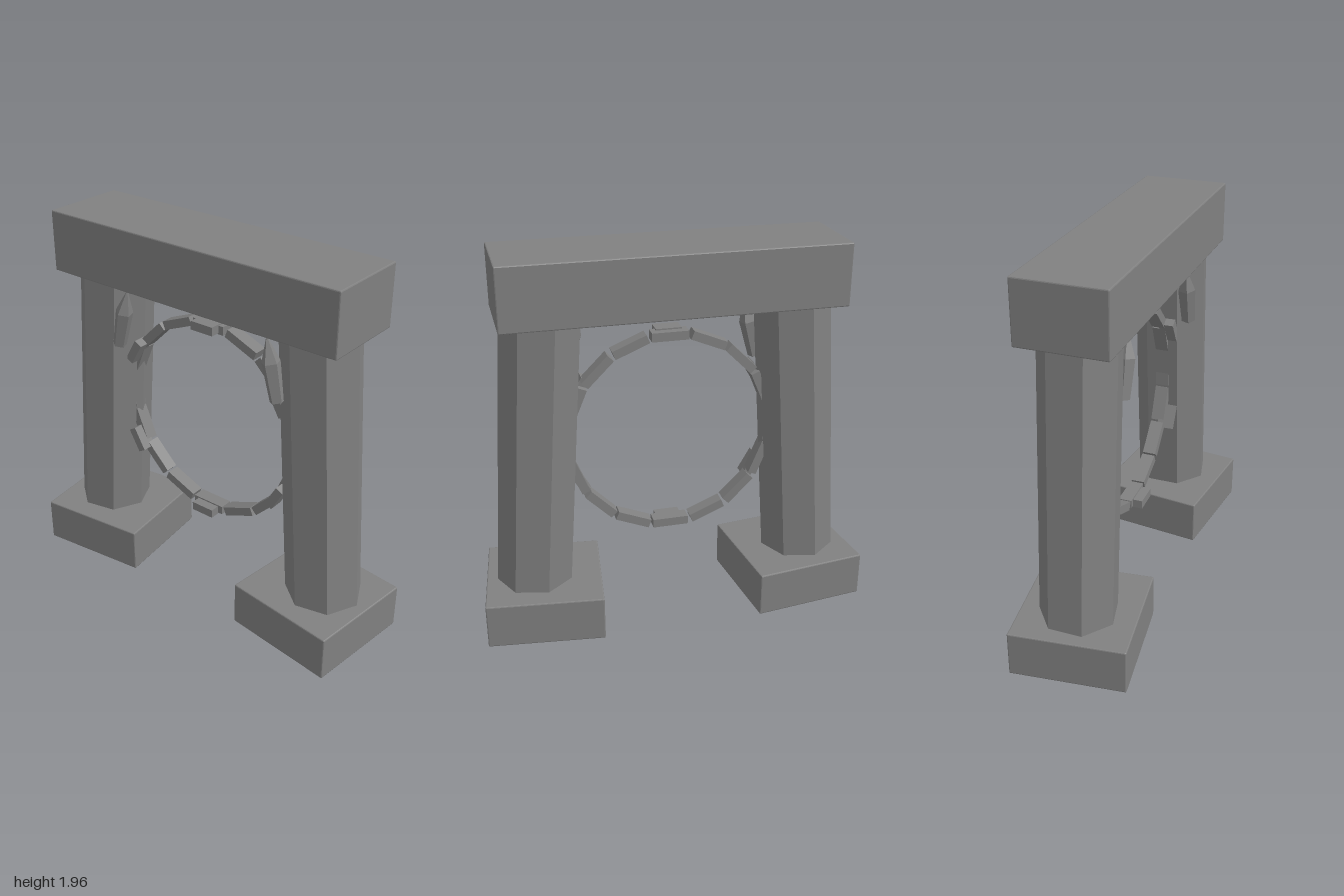
import * as THREE from 'three';
import { RoundedBoxGeometry } from 'three/addons/geometries/RoundedBoxGeometry.js';

export function createModel() {
  const group = new THREE.Group();
  group.name = 'stoneGateway';
  const stone = new THREE.MeshStandardMaterial({ color: 0x808080 });
  stone.name = 'grey stone';
  stone.flatShading = true;

  const add = (name, geometry, x, y, z, parent = group) => {
    const mesh = new THREE.Mesh(geometry, stone);
    mesh.name = name;
    mesh.position.set(x, y, z);
    parent.add(mesh);
    return mesh;
  };

  // Lintel across the top
  add('lintel', new RoundedBoxGeometry(1.67, 0.31, 0.44, 1, 0.006), 0, 1.805, 0);

  // Seven-sided column, one corner facing +x, foot at its origin
  const tilt = 0.07, columnLength = 1.7;
  const column = new THREE.CylinderGeometry(0.195, 0.195, columnLength, 7);
  column.rotateY(Math.PI / 2).translate(0, columnLength / 2, 0);

  // Pointed five-sided shard, widest above its middle
  const shard = new THREE.LatheGeometry([
    new THREE.Vector2(0, -0.16), new THREE.Vector2(0.036, -0.16),
    new THREE.Vector2(0.046, 0.03), new THREE.Vector2(0, 0.16),
  ], 5);

  for (const [side, s] of [['left', 1], ['right', -1]]) {
    // Twisted plinth
    const base = add(side + 'Base', new RoundedBoxGeometry(0.59, 0.235, 0.575, 1, 0.006), s * 0.672, 0.137, 0);
    base.rotation.y = -s * 0.12;

    // Columns lean inward
    add(side + 'Column', column, s * 0.734, 0.015, 0).rotation.z = s * tilt;

    // Shard on the inner face of the column
    add(side + 'Shard', shard, s * 0.455, 1.467, 0.14).rotation.z = s * 0.22;
  }

  // Broken ring of sixteen stones with six raised rune blocks on its front
  const ring = new THREE.Group();
  ring.name = 'portalRing';
  ring.position.y = 0.995;
  group.add(ring);
  const around = (name, count, radius, z, geometry) => {
    for (let i = 0; i < count; i++) {
      const a = (i / count) * Math.PI * 2;
      add(name + (i + 1), geometry, radius * Math.sin(a), radius * Math.cos(a), z, ring).rotation.z = -a;
    }
  };
  around('ringStone', 16, 0.513, 0, new THREE.BoxGeometry(0.185, 0.045, 0.07));
  around('runeBlock', 6, 0.52, 0.045, new THREE.BoxGeometry(0.13, 0.045, 0.08));

  return group;
}
